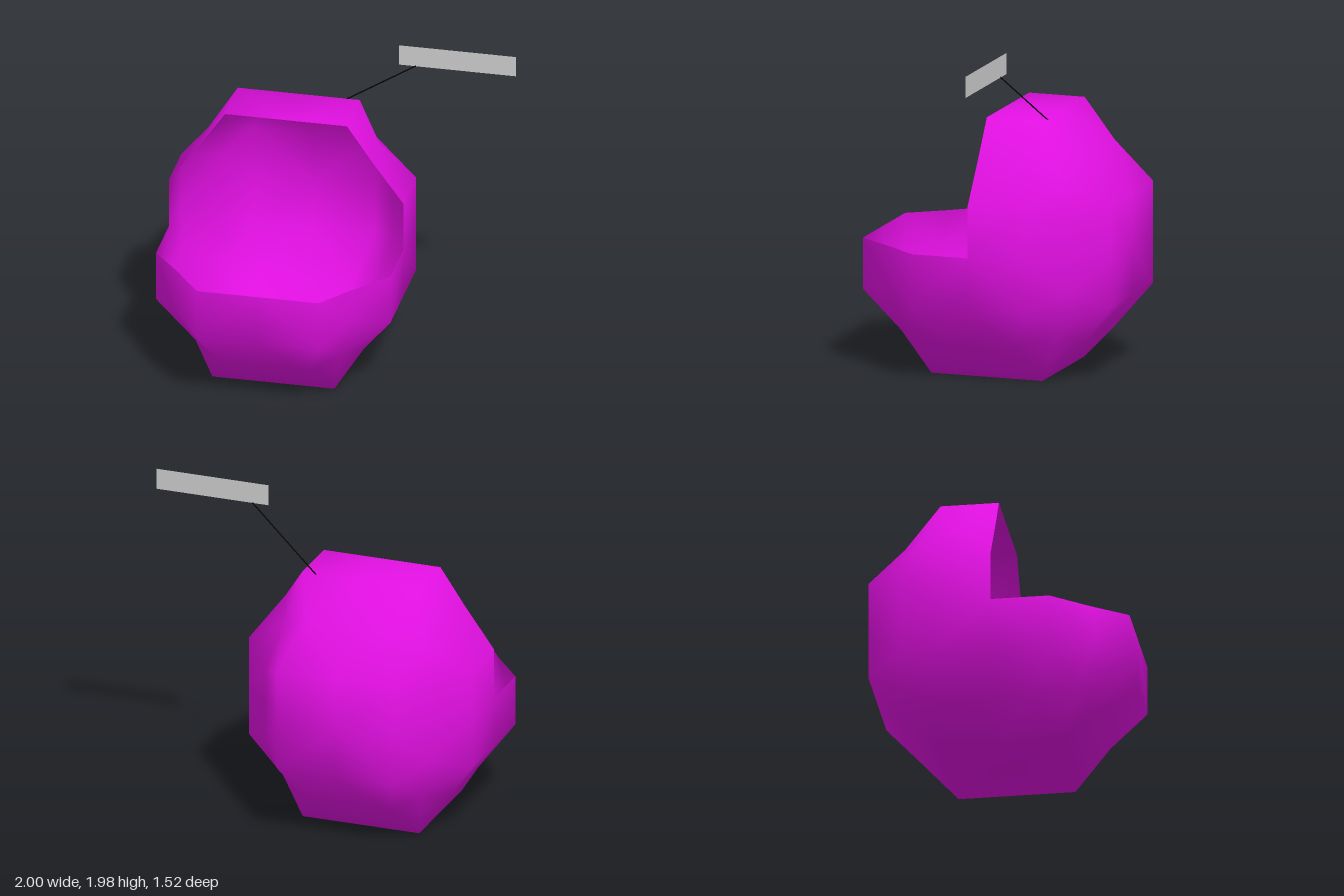
import * as THREE from 'three';

const CENTER = [-0.31, 0.765, 0];
const OUTER = [0.692, 0.765, 0.76];    // flat faces, distance from the centre
const INNER = [0.36, 0.30, 0.34];      // half size of the flat faces
const EDGE = [0.508, 0.55, 0.56];      // bevel midpoints between two faces
const EDGE_INNER = [0.26, 0.21, 0.22]; // half length of the bevel midlines
const CORNER = [0.43, 0.47, 0.47];     // corner points

// Lattice point (each coordinate -2..2, on the cube's skin) to position
function place(p) {
  const extremes = p.filter((c) => Math.abs(c) === 2).length;
  const far = [OUTER, EDGE, CORNER][extremes - 1];
  const near = extremes === 1 ? INNER : EDGE_INNER;
  const q = p.map((c, i) =>
    CENTER[i] + Math.sign(c) * (Math.abs(c) === 2 ? far[i] : Math.abs(c) * near[i]));
  // One bevel swells slightly below the opening
  if (p.join() === '-2,-1,2') { q[0] -= 0.03; q[2] += 0.03; }
  return q;
}

// Rounded box shell with the upper front quarter removed
function wallGeometry() {
  const positions = [], index = [], known = new Map();
  const vertex = (p) => {
    const key = p.join();
    if (!known.has(key)) {
      known.set(key, positions.length / 3);
      positions.push(...place(p));
    }
    return known.get(key);
  };
  for (let n = 0; n < 3; n++) {
    const u = (n + 1) % 3, v = (n + 2) % 3;
    for (const side of [-2, 2]) {
      for (let i = -2; i < 2; i++) {
        for (let j = -2; j < 2; j++) {
          const mid = [];
          mid[n] = side; mid[u] = i + 0.5; mid[v] = j + 0.5;
          if (mid[1] > 0 && mid[2] > 0) continue;
          const quad = [[0, 0], [1, 0], [1, 1], [0, 1]].map(([a, b]) => {
            const p = [];
            p[n] = side; p[u] = i + a; p[v] = j + b;
            return vertex(p);
          });
          // Diagonals run out towards the corners
          if (mid[u] * mid[v] < 0) quad.push(quad.shift());
          if (side < 0) [quad[1], quad[3]] = [quad[3], quad[1]];
          const [a, b, c, d] = quad;
          index.push(a, b, c, a, c, d);
        }
      }
    }
  }
  const geometry = new THREE.BufferGeometry();
  geometry.setAttribute('position', new THREE.Float32BufferAttribute(positions, 3));
  geometry.setIndex(index);
  geometry.computeVertexNormals();
  return geometry;
}

export function createModel() {
  const group = new THREE.Group();

  const wall = new THREE.Mesh(wallGeometry(),
    new THREE.MeshStandardMaterial({ color: 0xe010e0, side: THREE.DoubleSide }));
  wall.name = 'cellWall';
  group.add(wall);

  // Blank label plate
  const plate = new THREE.Mesh(new THREE.PlaneGeometry(0.69, 0.125),
    new THREE.MeshStandardMaterial({ color: 0xcccccc, side: THREE.DoubleSide }));
  plate.name = 'labelPlate';
  plate.position.set(0.655, 1.915, -0.213);
  group.add(plate);

  // Thin pointer from the plate to the wall
  const start = new THREE.Vector3(-0.09, 1.48, -0.36);
  const end = new THREE.Vector3(0.41, 1.855, -0.213);
  const pointer = new THREE.Mesh(
    new THREE.CylinderGeometry(0.004, 0.004, start.distanceTo(end), 6),
    new THREE.MeshStandardMaterial({ color: 0x050505 }));
  pointer.name = 'pointerLine';
  pointer.position.lerpVectors(start, end, 0.5);
  pointer.quaternion.setFromUnitVectors(new THREE.Vector3(0, 1, 0), end.clone().sub(start).normalize());
  group.add(pointer);

  return group;
}
